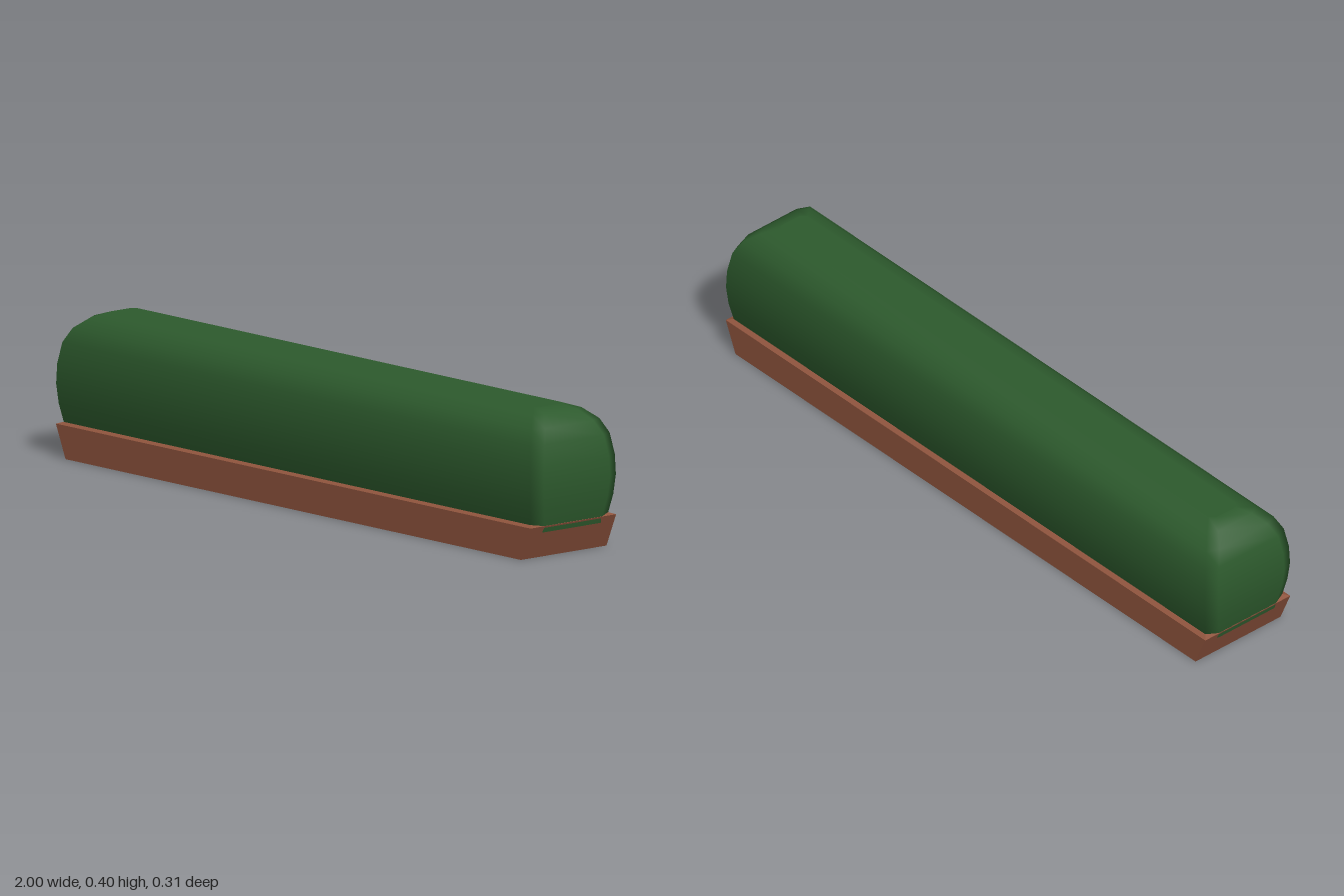
import * as THREE from 'three';

// Skins a list of equal-length point rings; ring order runs counter-clockwise seen from below.
function loft(rings, closed) {
  const n = rings[0].length, index = [];
  const last = closed ? rings.length : rings.length - 1;
  for (let r = 0; r < last; r++) {
    const s = (r + 1) % rings.length;
    for (let i = 0; i < n; i++) {
      const j = (i + 1) % n;
      const a = r * n + i, b = r * n + j, c = s * n + j, d = s * n + i;
      index.push(a, d, c, a, c, b);
    }
  }
  const geometry = new THREE.BufferGeometry();
  geometry.setAttribute('position', new THREE.Float32BufferAttribute(rings.flat(2), 3));
  geometry.setIndex(index);
  return geometry;
}

// Rectangle ring with cut corners (cx, cz)
function cutRectangle(x, z, y, cx, cz) {
  return [
    [x, y, -z + cz], [x, y, z - cz], [x - cx, y, z], [-x + cx, y, z],
    [-x, y, z - cz], [-x, y, -z + cz], [-x + cx, y, -z], [x - cx, y, -z],
  ];
}

const rectangle = (x, z, y) => [[x, y, -z], [x, y, z], [-x, y, z], [-x, y, -z]];

function cap(ring, up) {
  const geometry = new THREE.BufferGeometry();
  geometry.setAttribute('position', new THREE.Float32BufferAttribute(ring.flat(), 3));
  const index = [];
  for (let i = 1; i < ring.length - 1; i++) index.push(0, up ? i + 1 : i, up ? i : i + 1);
  geometry.setIndex(index);
  geometry.computeVertexNormals();
  return geometry;
}

export function createModel() {
  const group = new THREE.Group();
  const leaf = new THREE.MeshStandardMaterial({ color: 0x2d5a2d, side: THREE.DoubleSide });
  const clay = new THREE.MeshStandardMaterial({ color: 0x8f543d, flatShading: true, side: THREE.DoubleSide });

  const add = (name, geometry, material, parent) => {
    const mesh = new THREE.Mesh(geometry, material);
    mesh.name = name;
    parent.add(mesh);
  };

  // Hedge: each level is inset from the widest outline
  const levels = [
    [0.075, 0.02], [0.1, 0.0145], [0.15, 0.005], [0.205, 0], [0.26, 0.002],
    [0.32, 0.012], [0.36, 0.032], [0.39, 0.067], [0.403, 0.105],
  ];
  const rings = levels.map(([y, inset]) =>
    cutRectangle(1 - inset, 0.155 - inset, y, 0.016, Math.min(0.035, (0.155 - inset) * 0.3)));
  const hedge = new THREE.Group();
  hedge.name = 'hedge';
  group.add(hedge);
  const sides = loft(rings, false);
  sides.computeVertexNormals();
  // Top edge leans upward so the crown shades softly into the flat top
  const normals = sides.attributes.normal, v = new THREE.Vector3();
  for (let i = normals.count - 8; i < normals.count; i++) {
    v.fromBufferAttribute(normals, i);
    v.y += 1.5;
    v.normalize();
    normals.setXYZ(i, v.x, v.y, v.z);
  }
  add('hedgeSides', sides, leaf, hedge);
  add('hedgeTop', cap(rings[rings.length - 1], false), leaf, hedge);
  add('hedgeUnderside', cap(rings[0], true), leaf, hedge);

  // Planter frame: open box with sloping ends and a rim rising inward
  const frame = loft([
    rectangle(0.945, 0.155, 0),
    rectangle(0.985, 0.155, 0.093),
    rectangle(0.965, 0.135, 0.1),
    rectangle(0.925, 0.135, 0),
  ], true).toNonIndexed();
  frame.computeVertexNormals();
  add('planterFrame', frame, clay, group);

  // Orient the cap and skin faces outward
  group.traverse((o) => {
    if (!o.isMesh) return;
    const p = o.geometry.attributes.normal;
    if (o.name === 'hedgeTop' || o.name === 'hedgeUnderside') {
      const up = o.name === 'hedgeTop' ? 1 : -1;
      if (p.getY(0) * up < 0) {
        o.geometry.index.array.reverse();
        o.geometry.computeVertexNormals();
      }
    }
  });
  return group;
}
